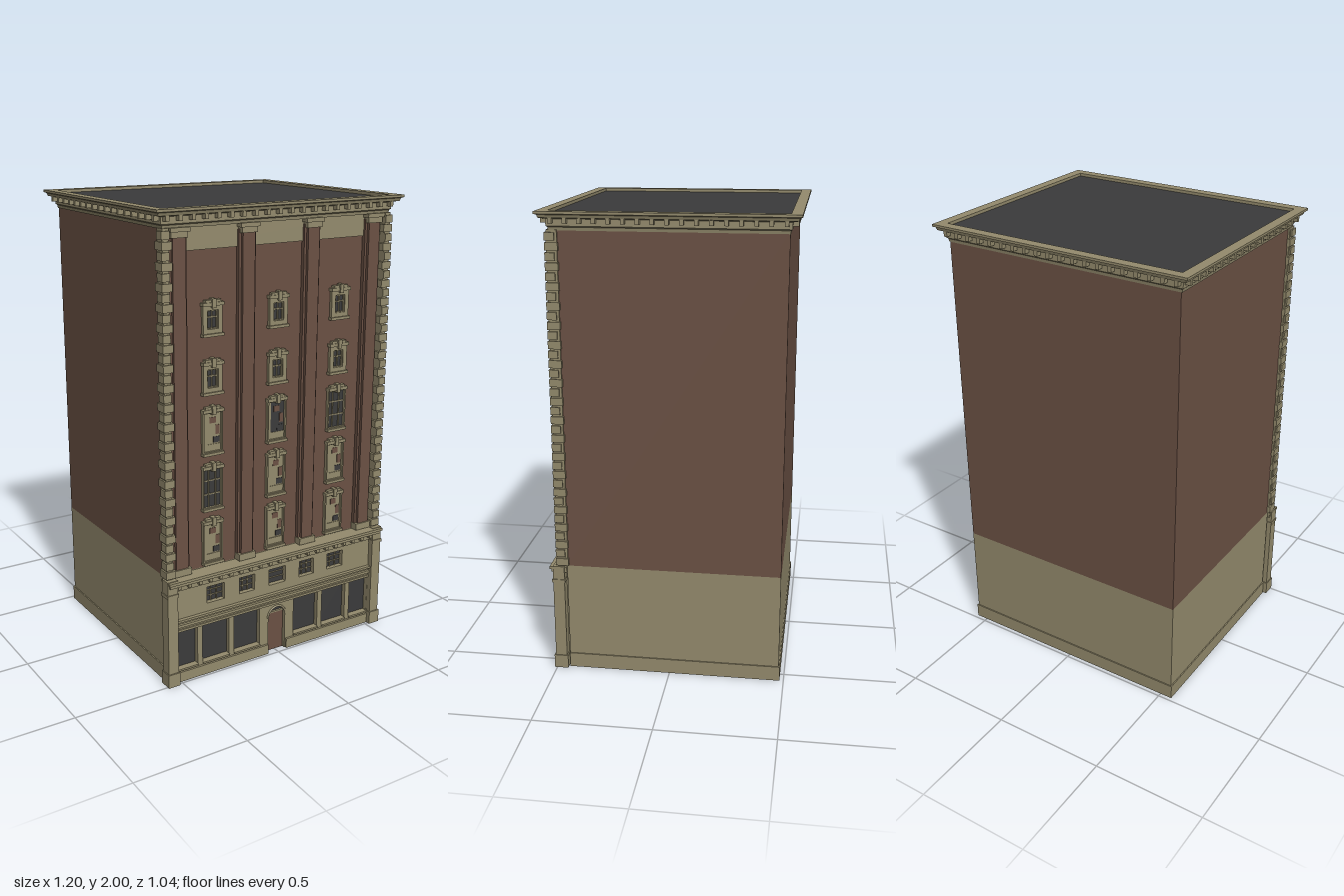
import * as THREE from 'three';

const material = (name, color) => {
  const m = new THREE.MeshStandardMaterial({ color });
  m.name = name;
  return m;
};

export function createModel() {
  const stone = material('stone', 0x948b6d);
  const brick = material('brick', 0x6b5144);
  const dark = material('dark glass and roofing', 0x3b3b3c);
  const model = new THREE.Group();
  model.name = 'building';

  const group = (name) => {
    const g = new THREE.Group();
    g.name = name;
    model.add(g);
    return g;
  };
  // Box given by its limits
  const box = (parent, name, mat, x0, x1, y0, y1, z0, z1) => {
    const m = new THREE.Mesh(new THREE.BoxGeometry(x1 - x0, y1 - y0, z1 - z0), mat);
    m.position.set((x0 + x1) / 2, (y0 + y1) / 2, (z0 + z1) / 2);
    m.name = name;
    parent.add(m);
    return m;
  };
  // Box centred on x
  const cbox = (parent, name, mat, x, w, y0, y1, z0, z1) =>
    box(parent, name, mat, x - w / 2, x + w / 2, y0, y1, z0, z1);

  // Moulding swept round a rectangle; profile points are [outward, y]
  const ring = (profile, hx, zBack, zFront) => {
    const pos = [];
    const corner = (k, [o, y]) => [
      [-hx - o, y, zFront + o], [hx + o, y, zFront + o],
      [hx + o, y, zBack - o], [-hx - o, y, zBack - o]][k % 4];
    for (let i = 0; i < profile.length - 1; i++) {
      for (let k = 0; k < 4; k++) {
        const a = corner(k, profile[i]), b = corner(k + 1, profile[i]);
        const c = corner(k + 1, profile[i + 1]), d = corner(k, profile[i + 1]);
        pos.push(...a, ...b, ...c, ...a, ...c, ...d);
      }
    }
    const g = new THREE.BufferGeometry();
    g.setAttribute('position', new THREE.Float32BufferAttribute(pos, 3));
    g.computeVertexNormals();
    return g;
  };

  const W = 0.55, BACK = -0.478, WALL = 0.445;

  // Main body
  const body = group('body');
  box(body, 'baseBlock', stone, -W, W, 0, 0.485, BACK, WALL);
  box(body, 'brickBlock', brick, -W, W, 0.485, 1.93, BACK, WALL);
  box(body, 'plinth', stone, -W - 0.005, W + 0.005, 0, 0.065, BACK - 0.005, WALL);
  box(body, 'frieze', stone, -0.53, 0.53, 1.83, 1.93, WALL, WALL + 0.008);

  // Top cornice, brackets and roof
  const crown = group('crown');
  const cornice = new THREE.Mesh(ring([
    [-0.03, 1.922], [0.004, 1.922], [0.006, 1.935], [0.012, 1.94], [0.012, 1.968],
    [0.036, 1.974], [0.04, 1.986], [0.05, 1.99], [0.05, 2.0], [0.005, 2.0], [0.005, 1.985],
  ], W, -0.475, 0.47), stone);
  cornice.name = 'cornice';
  crown.add(cornice);
  box(crown, 'roof', dark, -W - 0.006, W + 0.006, 1.975, 1.987, -0.481, 0.476);
  for (let i = 0; i < 20; i++) {
    const x = -0.545 + (1.09 * i) / 19;
    cbox(crown, 'bracket', stone, x, 0.016, 1.952, 1.976, 0.475, 0.505);
    cbox(crown, 'bracket', stone, x, 0.016, 1.952, 1.976, -0.51, -0.48);
  }
  for (let i = 0; i < 17; i++) {
    const z = -0.465 + (0.925 * i) / 16;
    for (const s of [-1, 1]) cbox(crown, 'bracket', stone, s * 0.57, 0.03, 1.952, 1.976, z - 0.008, z + 0.008);
  }

  // Corner quoins and base piers
  for (const s of [-1, 1]) {
    const corner = group(s > 0 ? 'leftCorner' : 'rightCorner');
    cbox(corner, 'quoinCore', stone, s * 0.544, 0.028, 0.485, 1.925, 0.44, 0.484);
    for (let i = 0; i < 36; i++) {
      const y = 0.49 + i * 0.0398, long = i % 2 === 0;
      const inner = long ? 0.519 : 0.53;
      cbox(corner, 'quoin', stone, s * (inner + 0.565) / 2, 0.565 - inner, y, y + 0.032, long ? 0.436 : 0.45, 0.49);
    }
    cbox(corner, 'pier', stone, s * 0.544, 0.048, 0, 0.485, 0.455, 0.505);
    cbox(corner, 'pierFoot', stone, s * 0.544, 0.056, 0, 0.06, 0.45, 0.511);
    cbox(corner, 'pierCap', stone, s * 0.544, 0.054, 0.41, 0.425, 0.452, 0.509);
  }

  // Pilasters
  for (const x of [-0.48, -0.16, 0.16, 0.48]) {
    const p = group('pilaster');
    cbox(p, 'pilasterBack', brick, x, 0.08, 0.485, 1.9, WALL, 0.463);
    cbox(p, 'pilasterFace', brick, x, 0.058, 0.485, 1.9, WALL, 0.476);
    cbox(p, 'pilasterFoot', stone, x, 0.084, 0.485, 0.515, WALL, 0.482);
    cbox(p, 'capitalNeck', stone, x, 0.074, 1.885, 1.91, WALL, 0.481);
    cbox(p, 'capital', stone, x, 0.088, 1.908, 1.925, WALL, 0.487);
  }

  // Rectangular frame of four bars
  const frame = (parent, x, y0, y1, w, t, z0, z1) => {
    for (const s of [-1, 1]) cbox(parent, 'jamb', stone, x + s * (w - t) / 2, t, y0, y1, z0, z1);
    cbox(parent, 'head', stone, x, w - 2 * t, y1 - t, y1, z0, z1);
    cbox(parent, 'bottomRail', stone, x, w - 2 * t, y0, y0 + t, z0, z1);
  };
  // Sill, lintel and keystone round a window opening
  const trim = (parent, x, y0, y1) => {
    cbox(parent, 'sill', stone, x, 0.1, y0, y0 + 0.012, WALL, 0.468);
    cbox(parent, 'lintel', stone, x, 0.1, y1 - 0.026, y1 - 0.012, WALL, 0.467);
    cbox(parent, 'lintelCrown', stone, x, 0.074, y1 - 0.012, y1 - 0.002, WALL, 0.463);
    cbox(parent, 'keystone', stone, x, 0.018, y1 - 0.034, y1 + 0.004, WALL, 0.472);
  };

  // Upper windows: tall rows hold open panes or drawn blinds
  const columns = [-0.32, 0, 0.32];
  const tallRows = [
    { y: 0.495, panes: ['blind', 'blind', 'blind'] },
    { y: 0.738, panes: ['glass', 'blind', 'blind'] },
    { y: 0.982, panes: ['blind', 'half', 'glass'] },
  ];
  for (const { y, panes } of tallRows) {
    columns.forEach((x, i) => {
      const g = group('tallWindow'), top = y + 0.21, kind = panes[i];
      frame(g, x, y + 0.01, top - 0.024, 0.096, 0.006, WALL, 0.46);
      trim(g, x, y, top);
      cbox(g, 'pane', kind === 'blind' ? stone : dark, x, 0.086, y + 0.012, top - 0.026, WALL, 0.448);
      if (kind === 'glass') {
        for (const s of [-1, 1]) cbox(g, 'mullion', stone, x + s * 0.017, 0.005, y + 0.012, top - 0.026, WALL, 0.453);
        for (const h of [0.07, 0.13]) cbox(g, 'glazingBar', stone, x, 0.086, y + h, y + h + 0.005, WALL, 0.452);
      } else {
        cbox(g, 'sideBlind', stone, x - 0.035, 0.016, y + 0.012, top - 0.026, WALL, 0.451);
        cbox(g, 'lowerBlind', stone, x, 0.086, y + 0.012, y + 0.045, WALL, 0.451);
        cbox(g, 'brickPatch', brick, x + 0.004, 0.03, y + 0.135, y + 0.16, 0.446, 0.45);
        cbox(g, 'brickPatch', brick, x + 0.028, 0.02, y + 0.085, y + 0.125, 0.446, 0.45);
        cbox(g, 'darkPatch', dark, x + 0.022, 0.03, y + 0.05, y + 0.075, 0.446, 0.45);
      }
    });
  }
  for (const y of [1.24, 1.482]) {
    for (const x of columns) {
      const g = group('smallWindow');
      frame(g, x, y + 0.01, y + 0.126, 0.09, 0.02, WALL, 0.46);
      trim(g, x, y, y + 0.15);
      cbox(g, 'pane', dark, x, 0.052, y + 0.025, y + 0.11, WALL, 0.448);
      frame(g, x, y + 0.028, y + 0.108, 0.052, 0.006, WALL, 0.455);
      cbox(g, 'mullion', stone, x, 0.005, y + 0.03, y + 0.108, WALL, 0.453);
      cbox(g, 'meetingRail', stone, x, 0.05, y + 0.075, y + 0.081, WALL, 0.454);
    }
  }

  // Base front wall with shop, strip window and door openings
  const front = group('baseFront');
  const rectPath = (x0, x1, y0, y1) => {
    const p = new THREE.Path();
    p.moveTo(x0, y0).lineTo(x0, y1).lineTo(x1, y1).lineTo(x1, y0).lineTo(x0, y0);
    return p;
  };
  const wall = new THREE.Shape();
  wall.moveTo(-0.525, 0).lineTo(-0.045, 0).lineTo(-0.045, 0.172);
  wall.absarc(0, 0.172, 0.045, Math.PI, 0, true);
  wall.lineTo(0.045, 0).lineTo(0.525, 0).lineTo(0.525, 0.46).lineTo(-0.525, 0.46).lineTo(-0.525, 0);
  const shops = [[0.092, 0.227], [0.252, 0.387], [0.412, 0.519]];
  for (const [a, b] of shops) {
    wall.holes.push(rectPath(a, b, 0.055, 0.23), rectPath(-b, -a, 0.055, 0.23));
    for (const s of [-1, 1]) {
      cbox(front, 'shopGlass', dark, s * (a + b) / 2, b - a, 0.055, 0.23, WALL, 0.458);
      cbox(front, 'shopSill', stone, s * (a + b) / 2, b - a, 0.05, 0.058, WALL, 0.488);
    }
  }
  for (const x of [-0.32, -0.16, 0, 0.16, 0.32]) {
    const w = Math.abs(x) === 0.16 ? 0.08 : 0.088;
    wall.holes.push(rectPath(x - w / 2, x + w / 2, 0.33, 0.405));
    cbox(front, 'stripGlass', dark, x, w, 0.33, 0.405, WALL, 0.458);
    for (const h of [0.353, 0.378]) cbox(front, 'stripBar', stone, x, w, h, h + 0.004, WALL, 0.463);
    for (const s of x === 0 ? [] : [-1, 1]) cbox(front, 'stripMullion', stone, x + (s * w) / 6, 0.004, 0.33, 0.405, WALL, 0.463);
  }
  const wallGeo = new THREE.ExtrudeGeometry(wall, { depth: 0.035, bevelEnabled: false, curveSegments: 12 });
  wallGeo.translate(0, 0, WALL);
  const wallMesh = new THREE.Mesh(wallGeo, stone);
  wallMesh.name = 'baseFrontWall';
  front.add(wallMesh);

  // Door, fanlight and arch
  cbox(front, 'door', brick, 0, 0.088, 0, 0.186, WALL, 0.464);
  cbox(front, 'transom', stone, 0, 0.086, 0.184, 0.19, WALL, 0.468);
  cbox(front, 'fanlight', dark, 0, 0.09, 0.19, 0.218, WALL, 0.458);
  const arch = new THREE.Mesh(new THREE.TorusGeometry(0.047, 0.005, 6, 16, Math.PI), stone);
  arch.position.set(0, 0.172, 0.48);
  arch.name = 'doorArch';
  front.add(arch);

  // Front plinth, belt mouldings and ledge with dentils
  for (const s of [-1, 1]) cbox(front, 'frontPlinth', stone, s * 0.287, 0.476, 0, 0.045, 0.47, 0.49);
  for (const [y0, y1, z] of [[0.234, 0.244, 0.488], [0.256, 0.268, 0.492], [0.282, 0.292, 0.497]])
    box(front, 'belt', stone, -0.522, 0.522, y0, y1, 0.47, z);
  box(front, 'ledgeBed', stone, -0.53, 0.53, 0.425, 0.455, 0.46, 0.488);
  box(front, 'ledge', stone, -0.56, 0.56, 0.456, 0.47, WALL, 0.513);
  box(front, 'ledgeTop', stone, -0.565, 0.565, 0.47, 0.482, WALL, 0.52);
  for (let i = 0; i < 21; i++)
    cbox(front, 'dentil', stone, -0.51 + i * 0.051, 0.016, 0.438, 0.457, 0.48, 0.504);

  return model;
}
